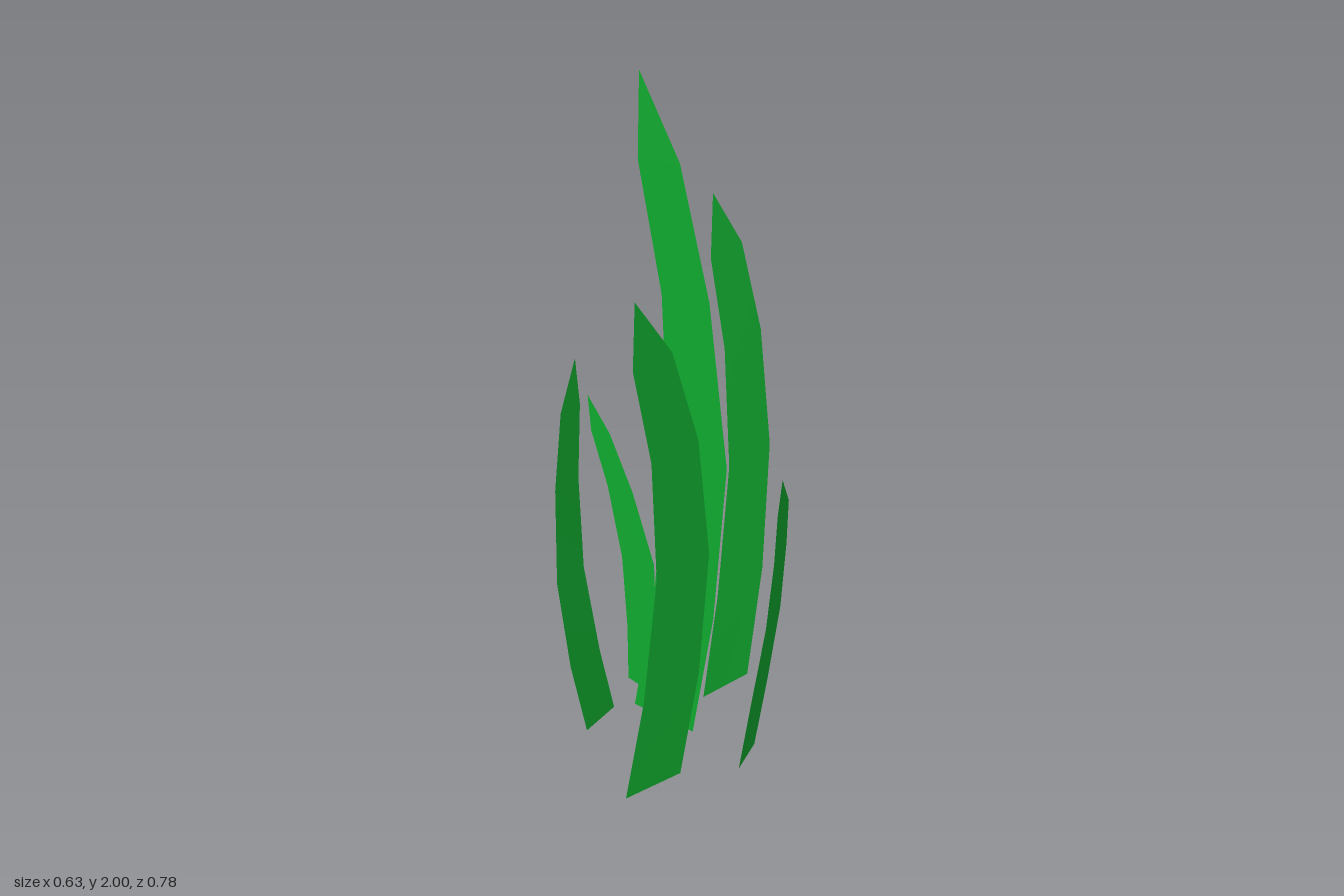
import * as THREE from 'three';

// Shared height fractions of the points along a blade's two edges
const OUTER_Y = [0.005, 0.23, 0.485, 0.72, 0.895];
const INNER_Y = [0.005, 0.215, 0.475, 0.71, 0.885];

// Each blade: height, tip [x, z], and plan points [x, z] from base upward
// along the bulging (outer) edge and the hollow (inner) edge
const BLADES = [
  { name: 'tallCentreBlade', height: 2.0, tip: [-0.068, -0.116],
    outer: [[0.06, -0.008], [0.11, 0.034], [0.136, 0.057], [0.09, 0.018], [0.022, -0.041]],
    inner: [[-0.098, -0.143], [-0.045, -0.098], [-0.004, -0.063], [-0.02, -0.077], [-0.073, -0.121]] },
  { name: 'frontBlade', height: 1.66, tip: [-0.12, 0.39],
    outer: [[0.008, 0.158], [0.057, 0.165], [0.077, 0.195], [0.04, 0.255], [-0.03, 0.32]],
    inner: [[-0.152, 0.245], [-0.1, 0.25], [-0.065, 0.272], [-0.08, 0.322], [-0.125, 0.372]] },
  { name: 'backBlade', height: 1.56, tip: [0.138, -0.351],
    outer: [[0.25, -0.25], [0.295, -0.315], [0.313, -0.372], [0.28, -0.392], [0.221, -0.384]],
    inner: [[0.107, -0.157], [0.152, -0.218], [0.187, -0.287], [0.172, -0.32], [0.132, -0.328]] },
  { name: 'rightSideBlade', height: 1.24, tip: [-0.242, -0.086],
    outer: [[-0.245, -0.045], [-0.286, -0.004], [-0.314, 0.022], [-0.308, 0.003], [-0.285, -0.031]],
    inner: [[-0.16, -0.14], [-0.2, -0.097], [-0.238, -0.063], [-0.244, -0.073], [-0.233, -0.092]] },
  { name: 'shortFrontBlade', height: 1.045, tip: [0.255, 0.226],
    outer: [[0.232, 0.055], [0.265, 0.044], [0.291, 0.056], [0.293, 0.1], [0.284, 0.16]],
    inner: [[0.175, 0.152], [0.205, 0.141], [0.24, 0.141], [0.25, 0.175], [0.248, 0.215]] },
  { name: 'shortBackBlade', height: 0.985, tip: [-0.204, -0.317],
    outer: [[-0.048, -0.199], [-0.03, -0.192], [-0.034, -0.198], [-0.09, -0.232], [-0.148, -0.274]],
    inner: [[-0.108, -0.268], [-0.109, -0.262], [-0.121, -0.26], [-0.156, -0.284], [-0.197, -0.312]] },
];

// A thin strip between the two edges, closed by a triangle at the tip
function bladeGeometry({ height, tip, outer, inner }) {
  const positions = [], index = [];
  outer.forEach(([x, z], i) => {
    positions.push(x, OUTER_Y[i] * height, z);
    positions.push(inner[i][0], INNER_Y[i] * height, inner[i][1]);
    const a = 2 * i;
    if (i < outer.length - 1) index.push(a, a + 2, a + 1, a + 1, a + 2, a + 3);
    else index.push(a, a + 2, a + 1);
  });
  positions.push(tip[0], height, tip[1]);
  const geometry = new THREE.BufferGeometry();
  geometry.setAttribute('position', new THREE.Float32BufferAttribute(positions, 3));
  geometry.setIndex(index);
  geometry.computeVertexNormals();
  return geometry;
}

export function createModel() {
  const group = new THREE.Group();
  group.name = 'grassTuft';
  const green = new THREE.MeshStandardMaterial({ color: 0x11aa2f, side: THREE.DoubleSide });
  for (const blade of BLADES) {
    const mesh = new THREE.Mesh(bladeGeometry(blade), green);
    mesh.name = blade.name;
    group.add(mesh);
  }
  return group;
}
